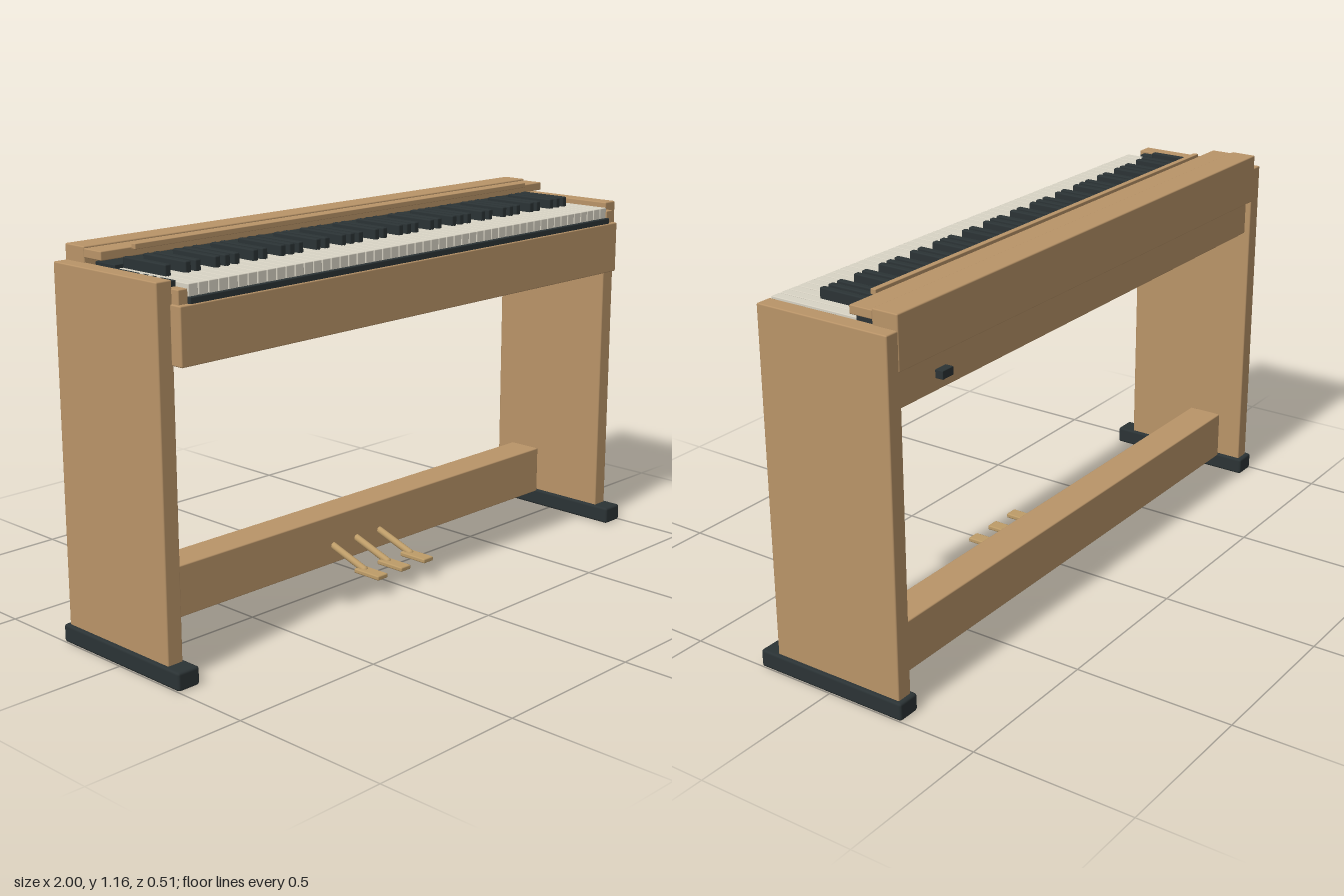
import * as THREE from 'three';
import { RoundedBoxGeometry } from 'three/addons/geometries/RoundedBoxGeometry.js';

const mat = (color) => new THREE.MeshStandardMaterial({ color });

export function createModel() {
  const root = new THREE.Group();
  root.name = 'digitalPiano';
  const wood = mat(0xb99468), dark = mat(0x2b3335), ivory = mat(0xd8d3c4);
  const ebony = mat(0x2b3335), brass = mat(0xbd9c68);

  // Softly bevelled box given by its limits on each axis
  function box(parent, name, material, [x0, x1], [y0, y1], [z0, z1], r = 0.004) {
    const w = x1 - x0, h = y1 - y0, d = z1 - z0;
    const radius = Math.min(r, w * 0.3, h * 0.3, d * 0.3);
    const mesh = new THREE.Mesh(new RoundedBoxGeometry(w, h, d, 1, radius), material);
    mesh.position.set((x0 + x1) / 2, (y0 + y1) / 2, (z0 + z1) / 2);
    mesh.name = name;
    parent.add(mesh);
    return mesh;
  }
  const group = (name) => {
    const g = new THREE.Group();
    g.name = name;
    root.add(g);
    return g;
  };

  // Side panels on dark feet, with the cheeks beside the keys
  for (const s of [-1, 1]) {
    const span = (a, b) => (s > 0 ? [a, b] : [-b, -a]);
    const side = group(s > 0 ? 'leftSide' : 'rightSide');
    box(side, 'sidePanel', wood, span(0.936, 0.988), [0.05, 1.113], [-0.24, 0.198]);
    box(side, 'foot', dark, span(0.925, 1), [0, 0.055], [-0.255, 0.255], 0.008);
    box(side, 'keyCheek', wood, span(0.906, 0.938), [1.04, 1.09], [-0.16, 0.225], 0.003);
  }

  // Case: key bed, front board and the raised back
  const body = group('case');
  box(body, 'keyBed', wood, [-0.937, 0.937], [0.888, 1.045], [-0.222, 0.21]);
  box(body, 'frontBoard', wood, [-0.945, 0.945], [0.886, 1.05], [0.197, 0.24]);
  box(body, 'backBoard', wood, [-0.945, 0.945], [1.0, 1.158], [-0.242, -0.158]);
  box(body, 'lid', wood, [-0.945, 0.945], [1.127, 1.153], [-0.16, -0.084], 0.003);
  box(body, 'lidLip', wood, [-0.84, 0.84], [1.147, 1.163], [-0.086, -0.068], 0.002);
  box(body, 'keyBackStrip', dark, [-0.907, 0.907], [1.04, 1.113], [-0.16, -0.074], 0.002);
  box(body, 'keySlip', dark, [-0.907, 0.907], [1.04, 1.068], [-0.08, 0.236], 0.003);
  box(body, 'powerSocket', dark, [0.725, 0.772], [0.925, 0.95], [-0.247, -0.215], 0.002);

  // Control strip with buttons at the low end of the keys
  const controls = group('controls');
  box(controls, 'controlPanel', dark, [-0.937, -0.907], [1.08, 1.106], [-0.07, 0.18], 0.002);
  for (const z of [0.065, 0.1, 0.135]) {
    const button = new THREE.Mesh(new THREE.CylinderGeometry(0.006, 0.006, 0.006, 16), ivory);
    button.position.set(-0.926, 1.108, z);
    button.name = 'button';
    controls.add(button);
  }

  // 52 white keys from A to C; black keys sit on the boundaries after C, D, F, G and A
  const keys = group('keyboard');
  const count = 52, left = -0.905, pitch = 1.807 / count;
  const hasSharp = [true, false, true, true, false, true, true]; // A B C D E F G
  for (let i = 0; i < count; i++) {
    const x = left + i * pitch;
    box(keys, 'whiteKey', ivory, [x + 0.0012, x + pitch - 0.0012], [1.066, 1.102], [-0.076, 0.226], 0.0025);
    if (hasSharp[i % 7] && i < count - 1) {
      const c = x + pitch;
      box(keys, 'blackKey', ebony, [c - 0.01, c + 0.01], [1.09, 1.133], [-0.074, 0.106], 0.004);
    }
  }

  // Stretcher carrying three pedals
  box(root, 'pedalBoard', wood, [-0.923, 0.923], [0.053, 0.212], [-0.165, -0.05]);
  for (const x of [-0.105, 0, 0.105]) {
    const pedal = group('pedal');
    pedal.position.x = x;
    box(pedal, 'pedalPad', brass, [-0.022, 0.022], [0.055, 0.07], [0.06, 0.165], 0.005);
    const path = new THREE.LineCurve3(new THREE.Vector3(0, 0.115, -0.06), new THREE.Vector3(0, 0.067, 0.085));
    const arm = new THREE.Mesh(new THREE.TubeGeometry(path, 1, 0.011, 14), brass);
    arm.name = 'pedalArm';
    pedal.add(arm);
    const end = new THREE.Mesh(new THREE.SphereGeometry(0.011, 14, 10), brass);
    end.position.copy(path.v2);
    end.name = 'pedalArmEnd';
    pedal.add(end);
  }
  return root;
}
